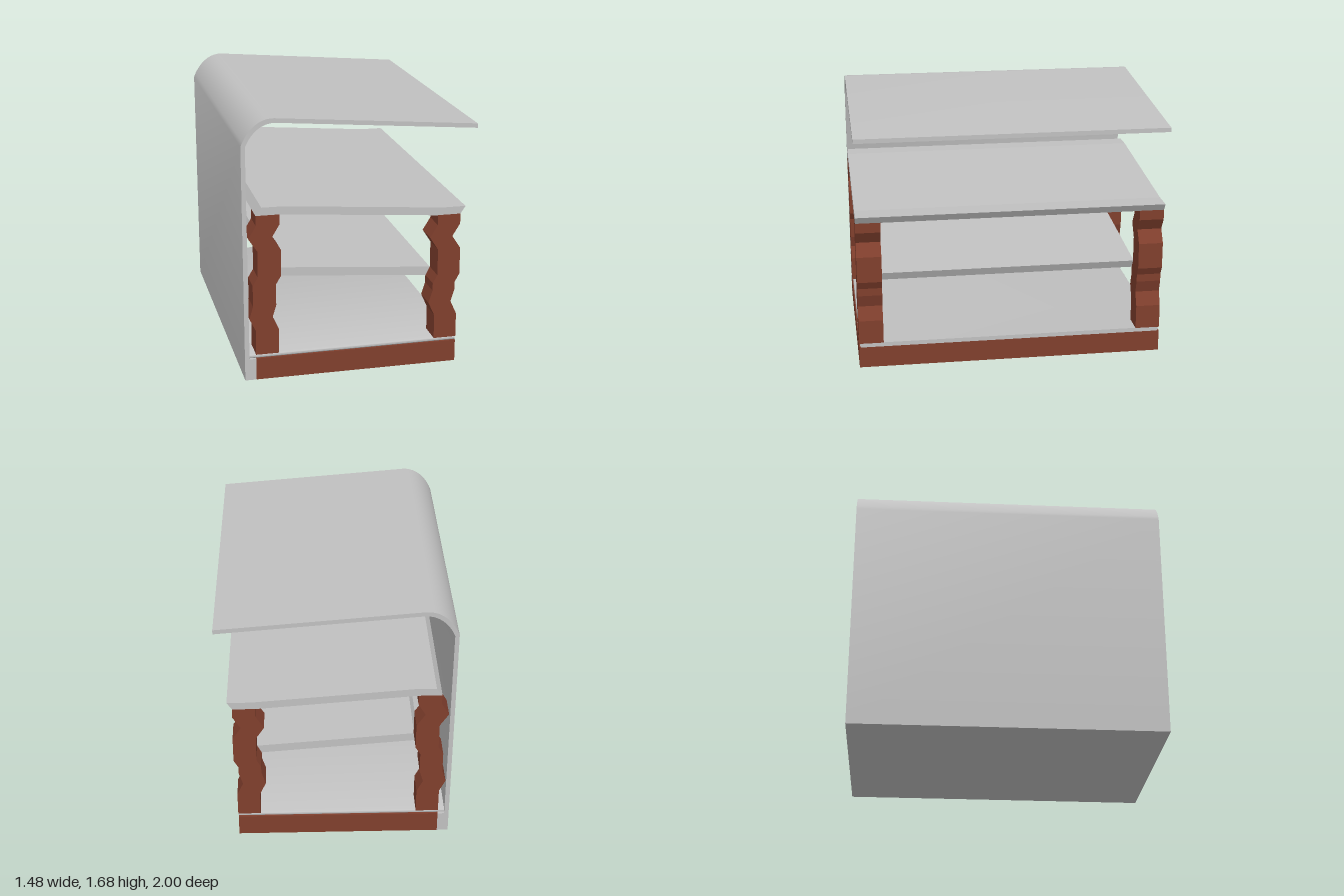
import * as THREE from 'three';
import { toCreasedNormals } from 'three/addons/utils/BufferGeometryUtils.js';

export function createModel() {
  const group = new THREE.Group();
  const grey = new THREE.MeshStandardMaterial({ color: 0xc0c0c0 });
  grey.name = 'grey panel';
  const brown = new THREE.MeshStandardMaterial({ color: 0x803f2d });
  brown.name = 'brown wood';

  const add = (name, geometry, material) => {
    const mesh = new THREE.Mesh(geometry, material);
    mesh.name = name;
    group.add(mesh);
    return mesh;
  };
  // Extrude an x-y profile from z0 to z1
  const extrude = (shape, z0, z1) =>
    new THREE.ExtrudeGeometry(shape, { depth: z1 - z0, bevelEnabled: false, curveSegments: 10 }).translate(0, 0, z0);
  const polygon = (points) => new THREE.Shape(points.map(([x, y]) => new THREE.Vector2(x, y)));

  // Back wall curving over into the sloping roof, with a thicker foot
  const canopy = new THREE.Shape();
  canopy.moveTo(-0.737, 0);
  canopy.lineTo(-0.665, 0);
  canopy.lineTo(-0.665, 0.14);
  canopy.lineTo(-0.708, 0.14);
  canopy.lineTo(-0.714, 1.51);
  canopy.bezierCurveTo(-0.68, 1.59, -0.62, 1.65, -0.535, 1.651);
  canopy.lineTo(0.74, 1.546);
  canopy.lineTo(0.74, 1.574);
  canopy.lineTo(-0.535, 1.679);
  canopy.bezierCurveTo(-0.63, 1.685, -0.705, 1.61, -0.741, 1.515);
  canopy.closePath();
  add('canopy', toCreasedNormals(extrude(canopy, -1, 1), 0.45), grey);

  // Base block with a grey underside
  const base = new THREE.BoxGeometry(1.3, 0.142, 2).translate(-0.015, 0.071, 0);
  add('base', base, [brown, brown, brown, grey, brown, brown]);

  // Floor panel with rounded front and back edges
  const r = 0.014;
  const floor = new THREE.Shape();
  floor.absarc(0.98, 0.155, r, -Math.PI / 2, Math.PI / 2);
  floor.absarc(-0.98, 0.155, r, Math.PI / 2, Math.PI * 1.5);
  floor.closePath();
  const floorGeometry = extrude(floor, -0.71, 0.635).rotateY(Math.PI / 2);
  add('floor', toCreasedNormals(floorGeometry, 0.6), grey);

  // Sloping shelves
  const topShelf = polygon([
    [-0.657, 1.078], [-0.51, 1.078], [0.5, 0.997], [0.645, 0.997],
    [0.678, 1.046], [0.53, 1.046], [-0.49, 1.128], [-0.62, 1.128],
  ]);
  add('topShelf', extrude(topShelf, -1, 1), grey);
  const middleShelf = polygon([[-0.535, 0.627], [0.477, 0.546], [0.503, 0.6], [-0.505, 0.68]]);
  add('middleShelf', extrude(middleShelf, -0.846, 0.846), grey);

  // Zigzag posts: one edge from bottom to top, repeated at a fixed width
  const postEdges = {
    right: [[-0.666, 0.168], [-0.666, 0.33], [-0.705, 0.41], [-0.681, 0.49], [-0.681, 0.627],
      [-0.649, 0.68], [-0.649, 0.85], [-0.704, 0.933], [-0.656, 1.013], [-0.656, 1.079]],
    left: [[0.491, 0.168], [0.491, 0.326], [0.451, 0.414], [0.476, 0.495], [0.476, 0.545],
      [0.505, 0.598], [0.505, 0.77], [0.451, 0.853], [0.5, 0.933], [0.5, 0.998]],
  };
  const width = 0.146;
  for (const [side, edge] of Object.entries(postEdges)) {
    const otherEdge = edge.map(([x, y]) => [x + width, y]).reverse();
    const profile = polygon([...edge, ...otherEdge]);
    add(side + 'FrontPost', extrude(profile, 0.84, 1), brown);
    add(side + 'BackPost', extrude(profile, -1, -0.84), brown);
  }

  return group;
}
